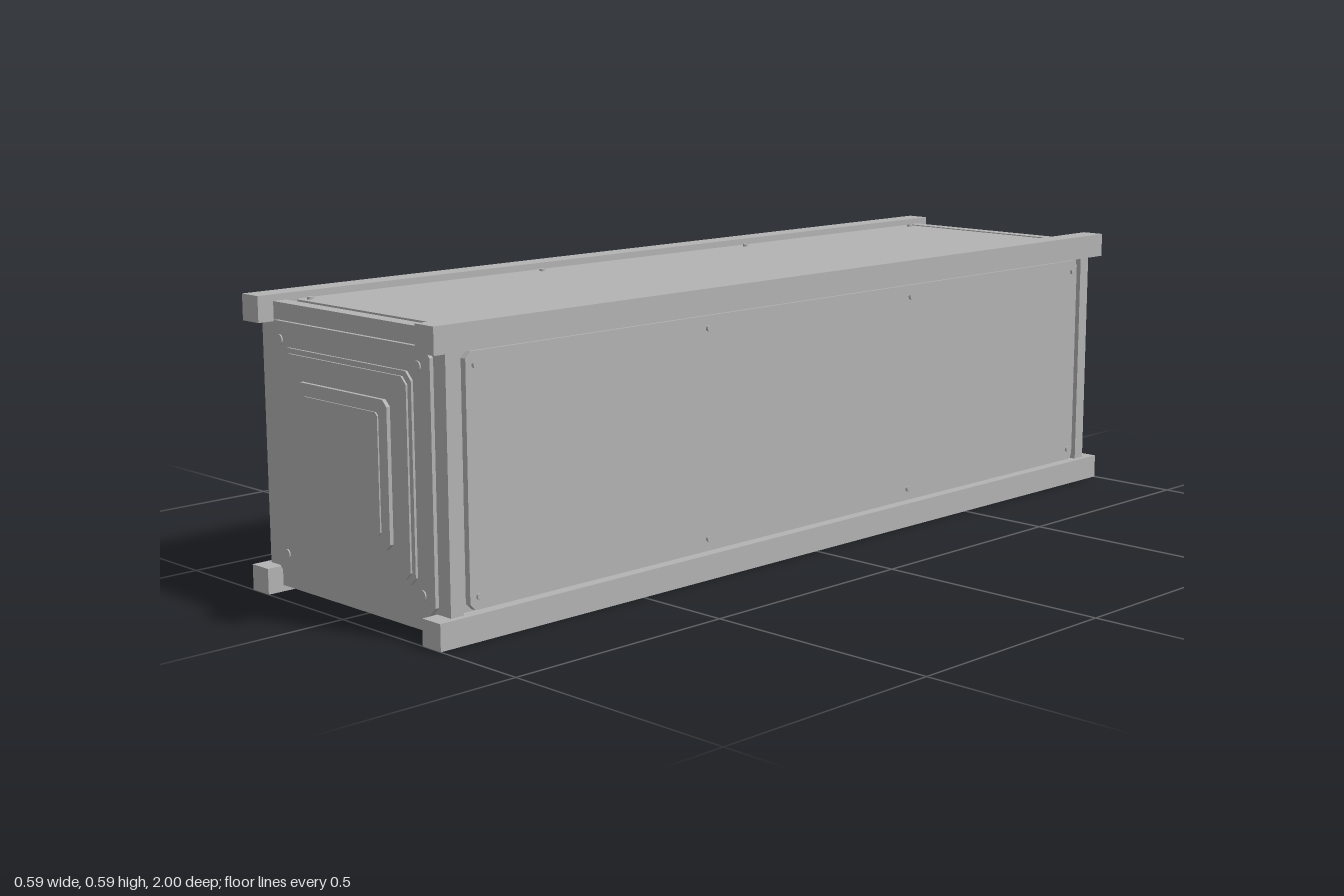
import * as THREE from 'three';

const grey = new THREE.MeshStandardMaterial({ color: 0xb3b3b3 });
grey.name = 'satin grey';
const MID = 0.294; // height of the long axis

function add(parent, name, geometry, x = 0, y = 0, z = 0) {
  const mesh = new THREE.Mesh(geometry, grey);
  mesh.name = name;
  mesh.position.set(x, y, z);
  parent.add(mesh);
  return mesh;
}

// Plate with chamfered corners, lying in XY and extruded along +z
function plate(w, h, cut, depth) {
  const a = w / 2, b = h / 2;
  const shape = new THREE.Shape([
    [-a + cut, -b], [a - cut, -b], [a, -b + cut], [a, b - cut],
    [a - cut, b], [-a + cut, b], [-a, b - cut], [-a, -b + cut],
  ].map(([x, y]) => new THREE.Vector2(x, y)));
  return new THREE.ExtrudeGeometry(shape, { depth, bevelEnabled: false });
}

// Disc whose axis is z, starting at z = 0
function disc(radius, depth) {
  return new THREE.CylinderGeometry(radius, radius, depth, 24)
    .rotateX(Math.PI / 2).translate(0, 0, depth / 2);
}

export function createModel() {
  const root = new THREE.Group();
  root.name = 'satellite';
  const body = new THREE.Group();
  body.name = 'body';
  body.position.y = MID;
  root.add(body);

  add(body, 'core', new THREE.BoxGeometry(0.536, 0.536, 1.88));

  // Four long corner rails
  for (const sx of [-1, 1]) for (const sy of [-1, 1])
    add(body, 'rail', new THREE.BoxGeometry(0.052, 0.052, 2), sx * 0.268, sy * 0.268, 0);

  // Four long panels with rows of small screws
  for (let i = 0; i < 4; i++) {
    const side = new THREE.Group();
    side.name = 'sidePanel';
    side.rotation.z = i * Math.PI / 2;
    body.add(side);
    add(side, 'panel', plate(0.476, 1.84, 0.012, 0.015).rotateX(-Math.PI / 2), 0, 0.266, 0);
    for (const x of [-0.213, 0.213]) for (const z of [-0.9, -0.31, 0.31, 0.9])
      add(side, 'panelScrew', disc(0.006, 0.008).rotateX(-Math.PI / 2), x, 0.278, z);
  }

  // End frames and their cover plates
  for (const s of [1, -1]) {
    const end = new THREE.Group();
    end.name = s > 0 ? 'frontEnd' : 'backEnd';
    end.rotation.y = s > 0 ? 0 : Math.PI;
    body.add(end);
    add(end, 'endFrame', new THREE.BoxGeometry(0.562, 0.562, 0.03), 0, 0, 0.95);
    add(end, 'coverPlate', plate(0.494, 0.494, 0.018, 0.01), 0, 0, 0.963);

    if (s > 0) {
      // Stepped square cover
      for (const [half, cut, top] of [
        [0.198, 0.016, 0.978], [0.188, 0.014, 0.982],
        [0.14, 0.012, 0.99], [0.115, 0.006, 0.993],
      ]) add(end, 'coverStep', plate(half * 2, half * 2, cut, top - 0.97), 0, 0.001, 0.97);
      for (const x of [-0.212, 0.212]) for (const y of [-0.211, 0.211])
        add(end, 'coverScrew', disc(0.01, 0.006), x, y, 0.97);
    } else {
      // Name plate and two round connectors
      add(end, 'blankPlate', plate(0.155, 0.072, 0.006, 0.017), 0.035, 0.03, 0.97);
      for (const x of [-0.185, 0.185])
        add(end, 'connector', disc(0.021, 0.014), x, -0.162, 0.97);
    }
  }
  return root;
}
